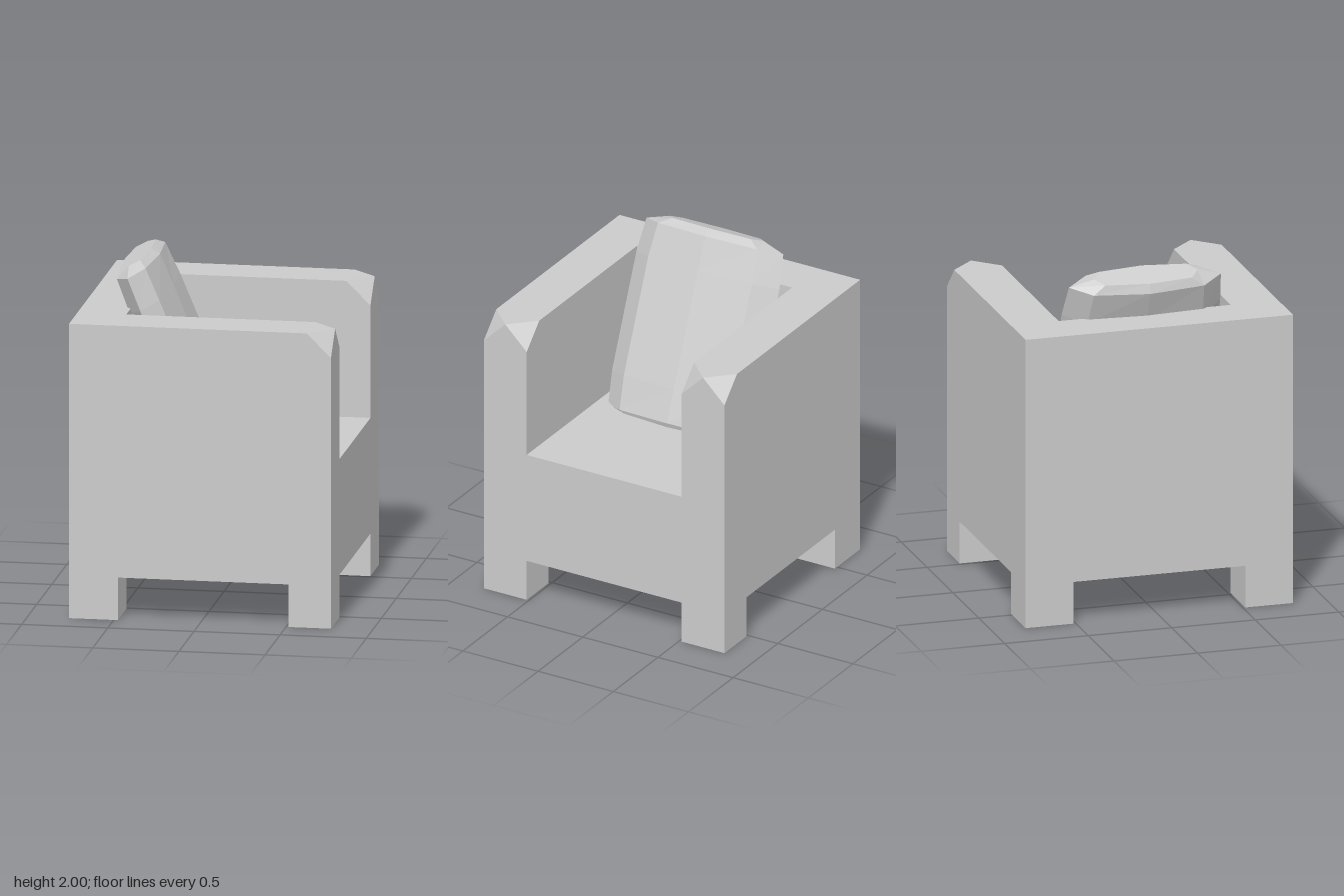
import * as THREE from 'three';
import { ConvexGeometry } from 'three/addons/geometries/ConvexGeometry.js';

const material = new THREE.MeshStandardMaterial({ color: 0xcccccc, flatShading: true });

// Main levels and extents: the armchair opens toward +x
const X = 0.76, Z = 0.8, INNER_Z = 0.515, BACK_X = -0.477;
const UNDER = 0.25, SEAT = 0.93, TOP = 1.73, CUT = 0.14;

function addMesh(group, name, geometry) {
  const mesh = new THREE.Mesh(geometry, material);
  mesh.name = name;
  group.add(mesh);
  return mesh;
}

// Box given by its two opposite corners
function addBox(group, name, [x0, y0, z0], [x1, y1, z1]) {
  const mesh = addMesh(group, name, new THREE.BoxGeometry(x1 - x0, y1 - y0, z1 - z0));
  mesh.position.set((x0 + x1) / 2, (y0 + y1) / 2, (z0 + z1) / 2);
}

// Side slab whose two upper front corners are cut off diagonally
function armGeometry() {
  const h = (Z - INNER_Z) / 2;
  const points = [new THREE.Vector3(X, TOP, 0)];
  for (const z of [-h, h]) {
    for (const [x, y] of [[-X, UNDER], [X, UNDER], [X, TOP - CUT], [X - CUT, TOP], [-X, TOP]]) {
      points.push(new THREE.Vector3(x, y, z));
    }
  }
  return new ConvexGeometry(points);
}

// Faceted pillow lofted along y from eight-sided rings
function cushionGeometry() {
  // y, ridge half width, shoulder half width, centre half depth, shoulder half depth
  const half = [[0.35, 0.475, 0.345, 0.12, 0.095], [0.55, 0.455, 0.33, 0.12, 0.09], [0.595, 0.31, 0.26, 0.083, 0.062]];
  const rings = [...half.map(([y, ...r]) => [-y, ...r]).reverse(), ...half];
  const positions = [], index = [], n = 8;
  for (const [y, W, w, t, s] of rings) {
    const ring = [[0, W], [s, w], [t, 0], [s, -w], [0, -W], [-s, -w], [-t, 0], [-s, w]];
    for (const [x, z] of ring) positions.push(x, y, z);
  }
  for (let i = 0; i < rings.length - 1; i++) {
    for (let j = 0; j < n; j++) {
      const a = i * n + j, b = i * n + (j + 1) % n;
      index.push(a, b, b + n, a, b + n, a + n);
    }
  }
  // Flat end caps
  const last = (rings.length - 1) * n;
  for (let j = 1; j < n - 1; j++) {
    index.push(0, j + 1, j, last, last + j, last + j + 1);
  }
  const geometry = new THREE.BufferGeometry();
  geometry.setAttribute('position', new THREE.Float32BufferAttribute(positions, 3));
  geometry.setIndex(index);
  const flat = geometry.toNonIndexed();
  flat.computeVertexNormals();
  return flat;
}

export function createModel() {
  const chair = new THREE.Group();
  chair.name = 'armchair';

  // Seat block and backrest between the arms
  addBox(chair, 'seat', [-X, UNDER, -INNER_Z], [X, SEAT, INNER_Z]);
  addBox(chair, 'backrest', [-X, SEAT, -INNER_Z], [BACK_X, TOP, INNER_Z]);

  // Arms and legs, mirrored across z
  for (const side of [-1, 1]) {
    const arm = addMesh(chair, side > 0 ? 'armFront' : 'armBack', armGeometry());
    arm.position.z = side * (Z + INNER_Z) / 2;
    const z0 = side > 0 ? INNER_Z : -Z, z1 = side > 0 ? Z : -INNER_Z;
    addBox(chair, 'rearLeg', [-X, 0, z0], [BACK_X, UNDER, z1]);
    addBox(chair, 'frontLeg', [0.515, 0, z0], [X, UNDER, z1]);
  }

  // Cushion leaning on the backrest
  const cushion = addMesh(chair, 'cushion', cushionGeometry());
  cushion.position.set(-0.266, 1.419, 0);
  cushion.rotation.z = THREE.MathUtils.degToRad(23);

  return chair;
}
